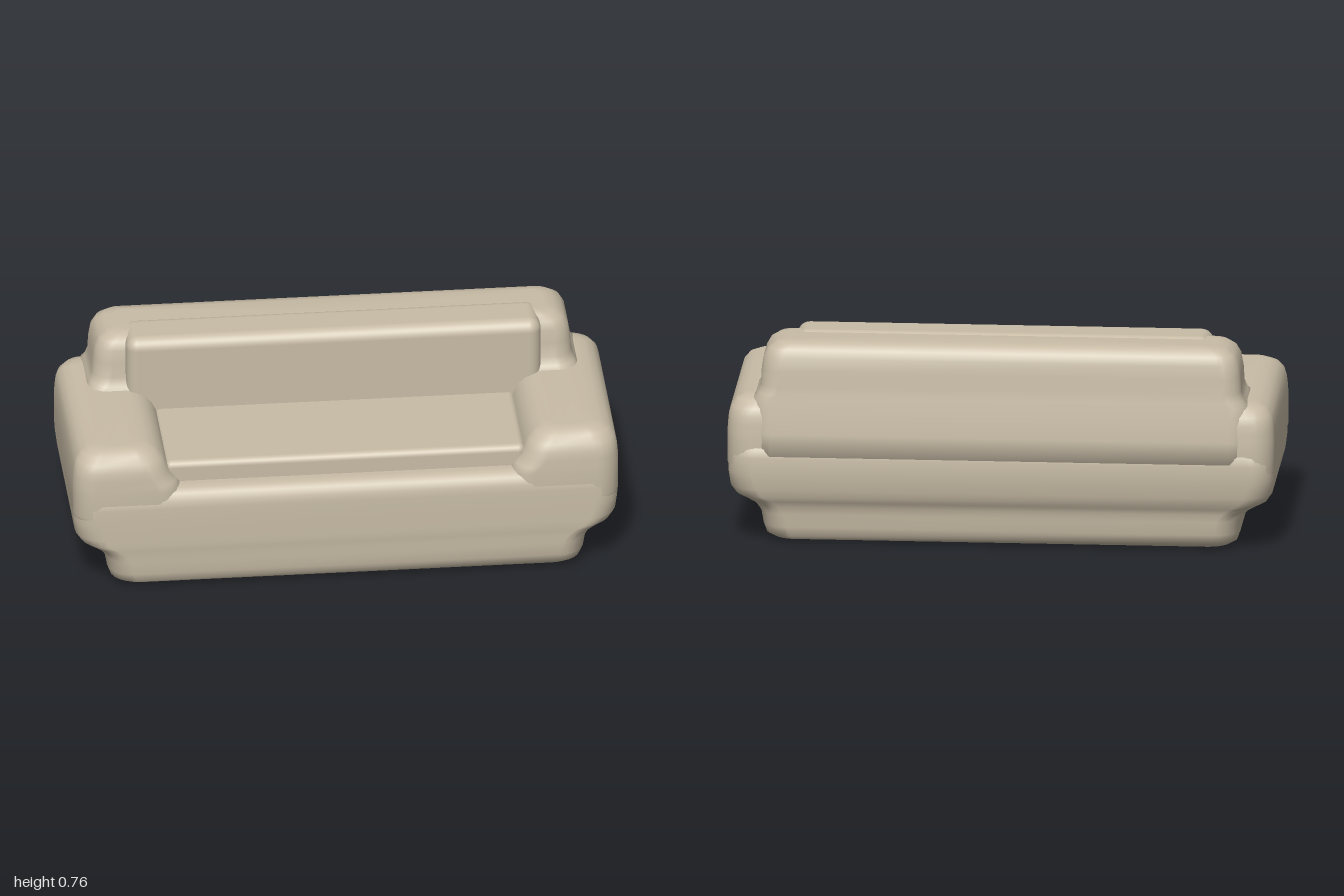
import * as THREE from 'three';
import { RoundedBoxGeometry } from 'three/addons/geometries/RoundedBoxGeometry.js';

// Upholstered form: rounded rectangles [y, x0, x1, z0, z1, cornerRadius] stacked bottom to top
function loft(rows) {
  const perCorner = 7, n = perCorner * 4;
  const pos = [], index = [];
  for (const [y, x0, x1, z0, z1, r] of rows) {
    for (let c = 0; c < 4; c++) {
      const cx = c === 0 || c === 3 ? x1 - r : x0 + r;
      const cz = c < 2 ? z1 - r : z0 + r;
      for (let k = 0; k < perCorner; k++) {
        const a = (c + k / (perCorner - 1)) * Math.PI / 2;
        pos.push(cx + r * Math.cos(a), y, cz + r * Math.sin(a));
      }
    }
  }
  for (let j = 0; j < rows.length - 1; j++) {
    for (let i = 0; i < n; i++) {
      const a = j * n + i, b = j * n + (i + 1) % n;
      index.push(a, a + n, b, b, a + n, b + n);
    }
  }
  // End caps
  for (const j of [0, rows.length - 1]) {
    const [y, x0, x1, z0, z1] = rows[j];
    const centre = pos.length / 3;
    pos.push((x0 + x1) / 2, y, (z0 + z1) / 2);
    for (let i = 0; i < n; i++) {
      const a = j * n + i, b = j * n + (i + 1) % n;
      if (j === 0) index.push(centre, a, b);
      else index.push(centre, b, a);
    }
  }
  const g = new THREE.BufferGeometry();
  g.setAttribute('position', new THREE.Float32BufferAttribute(pos, 3));
  g.setIndex(index);
  g.computeVertexNormals();
  return g;
}

// Same, but symmetric in x: [y, halfWidth, z0, z1, r]
const symmetricLoft = rows => loft(rows.map(([y, w, z0, z1, r]) => [y, -w, w, z0, z1, r]));

export function createModel() {
  const sofa = new THREE.Group();
  sofa.name = 'sofa';
  const fabric = new THREE.MeshStandardMaterial({ color: 0xc8bca6 });
  fabric.name = 'beige fabric';

  const add = (name, geometry, x = 0, y = 0, z = 0) => {
    const mesh = new THREE.Mesh(geometry, fabric);
    mesh.name = name;
    mesh.position.set(x, y, z);
    sofa.add(mesh);
    return mesh;
  };

  // Body: narrow plinth flaring out to the full width, with the low front rim on top
  add('body', symmetricLoft([
    [0.004, 0.80, -0.31, 0.35, 0.06],
    [0.008, 0.835, -0.345, 0.385, 0.08],
    [0.025, 0.86, -0.37, 0.41, 0.09],
    [0.06, 0.872, -0.38, 0.422, 0.09],
    [0.11, 0.88, -0.385, 0.425, 0.09],
    [0.14, 0.90, -0.39, 0.426, 0.09],
    [0.16, 0.935, -0.40, 0.428, 0.10],
    [0.18, 0.97, -0.412, 0.43, 0.10],
    [0.21, 0.99, -0.42, 0.43, 0.10],
    [0.27, 0.997, -0.43, 0.43, 0.09],
    [0.33, 0.995, -0.43, 0.43, 0.09],
    [0.36, 0.985, -0.425, 0.427, 0.09],
    [0.385, 0.96, -0.41, 0.415, 0.08],
    [0.398, 0.93, -0.38, 0.395, 0.07],
    [0.403, 0.89, -0.35, 0.365, 0.05],
  ]));

  // Arms: wide pads, flaring softly into the front rim on the inside
  const armRows = [
    [0.25, 0.60, 0.985, -0.41, 0.42, 0.08],
    [0.30, 0.60, 1.0, -0.422, 0.428, 0.085],
    [0.395, 0.60, 1.0, -0.42, 0.428, 0.085],
    [0.42, 0.62, 1.0, -0.418, 0.426, 0.085],
    [0.45, 0.645, 0.998, -0.416, 0.425, 0.085],
    [0.48, 0.655, 0.995, -0.413, 0.422, 0.085],
    [0.51, 0.67, 0.987, -0.405, 0.412, 0.085],
    [0.535, 0.695, 0.967, -0.385, 0.392, 0.075],
    [0.549, 0.725, 0.937, -0.355, 0.362, 0.06],
    [0.554, 0.76, 0.90, -0.32, 0.33, 0.04],
  ];
  for (const side of [1, -1]) {
    add(side > 0 ? 'leftArm' : 'rightArm', loft(armRows.map(([y, a, b, z0, z1, r]) =>
      side > 0 ? [y, a, b, z0, z1, r] : [y, -b, -a, z0, z1, r])));
  }

  // Backrest: spreads a little where it meets the arms
  add('backrest', symmetricLoft([
    [0.30, 0.90, -0.43, -0.06, 0.06],
    [0.42, 0.91, -0.426, -0.06, 0.07],
    [0.50, 0.91, -0.417, -0.06, 0.07],
    [0.545, 0.905, -0.411, -0.065, 0.07],
    [0.565, 0.888, -0.408, -0.085, 0.07],
    [0.595, 0.878, -0.404, -0.10, 0.07],
    [0.65, 0.875, -0.40, -0.104, 0.07],
    [0.70, 0.867, -0.394, -0.11, 0.07],
    [0.73, 0.85, -0.382, -0.12, 0.065],
    [0.75, 0.82, -0.36, -0.14, 0.055],
    [0.758, 0.78, -0.325, -0.175, 0.04],
  ]));

  // Cushions
  add('backCushion', new RoundedBoxGeometry(1.52, 0.345, 0.19, 5, 0.045), 0, 0.592, -0.153);
  add('seatCushion', new RoundedBoxGeometry(1.32, 0.18, 0.47, 4, 0.025), 0, 0.39, 0.118);

  // Small glides under the plinth
  for (const x of [-0.72, 0.72]) {
    for (const z of [-0.22, 0.26]) {
      add('glide', new THREE.CylinderGeometry(0.016, 0.016, 0.008, 16), x, 0.004, z);
    }
  }
  return sofa;
}
